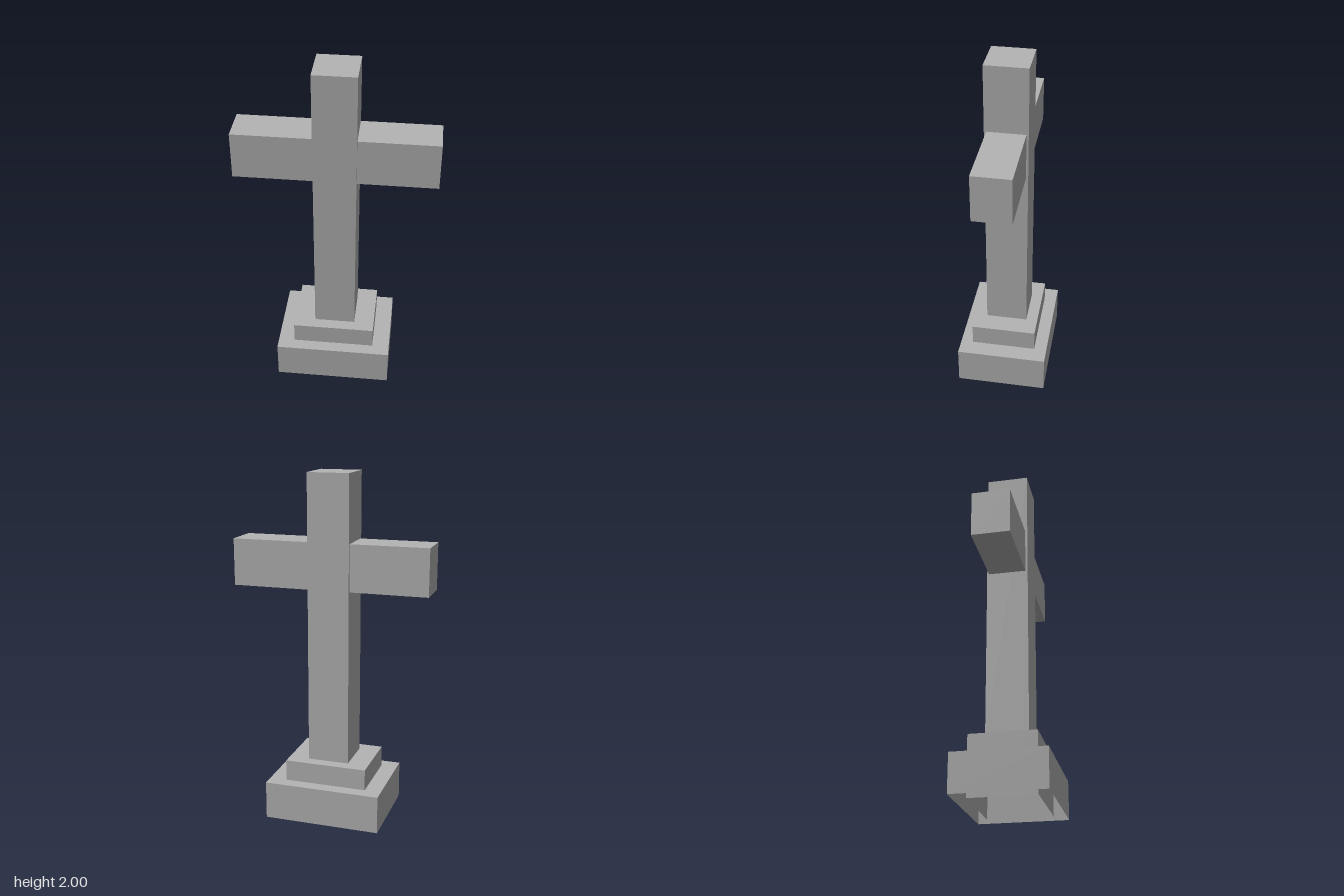
import * as THREE from 'three';

// Box given by its limits; an open box has no bottom face.
function block(name, material, [x0, x1], [y0, y1], [z0, z1], open = false) {
  const geometry = new THREE.BoxGeometry(x1 - x0, y1 - y0, z1 - z0);
  if (open) {
    const index = Array.from(geometry.index.array);
    index.splice(18, 6); // the downward face
    geometry.setIndex(index);
    geometry.clearGroups();
  }
  geometry.translate((x0 + x1) / 2, (y0 + y1) / 2, (z0 + z1) / 2);
  const mesh = new THREE.Mesh(geometry, material);
  mesh.name = name;
  return mesh;
}

export function createModel() {
  const stone = new THREE.MeshStandardMaterial({ color: 0xb4b4b4, side: THREE.DoubleSide });
  stone.name = 'grey stone';

  const group = new THREE.Group();
  group.name = 'stoneCross';
  group.add(
    // Nested plinth shells, both hollow from below
    block('basePlinth', stone, [-0.338, 0.336], [0, 0.22], [-0.262, 0.258], true),
    block('upperStep', stone, [-0.242, 0.236], [0, 0.342], [-0.188, 0.187], true),
    // Upright and the slightly thinner crossbar through it
    block('shaft', stone, [-0.121, 0.118], [0.342, 2], [-0.121, 0.119]),
    block('crossbar', stone, [-0.566, 0.563], [1.353, 1.62], [-0.109, 0.106]),
  );
  return group;
}
